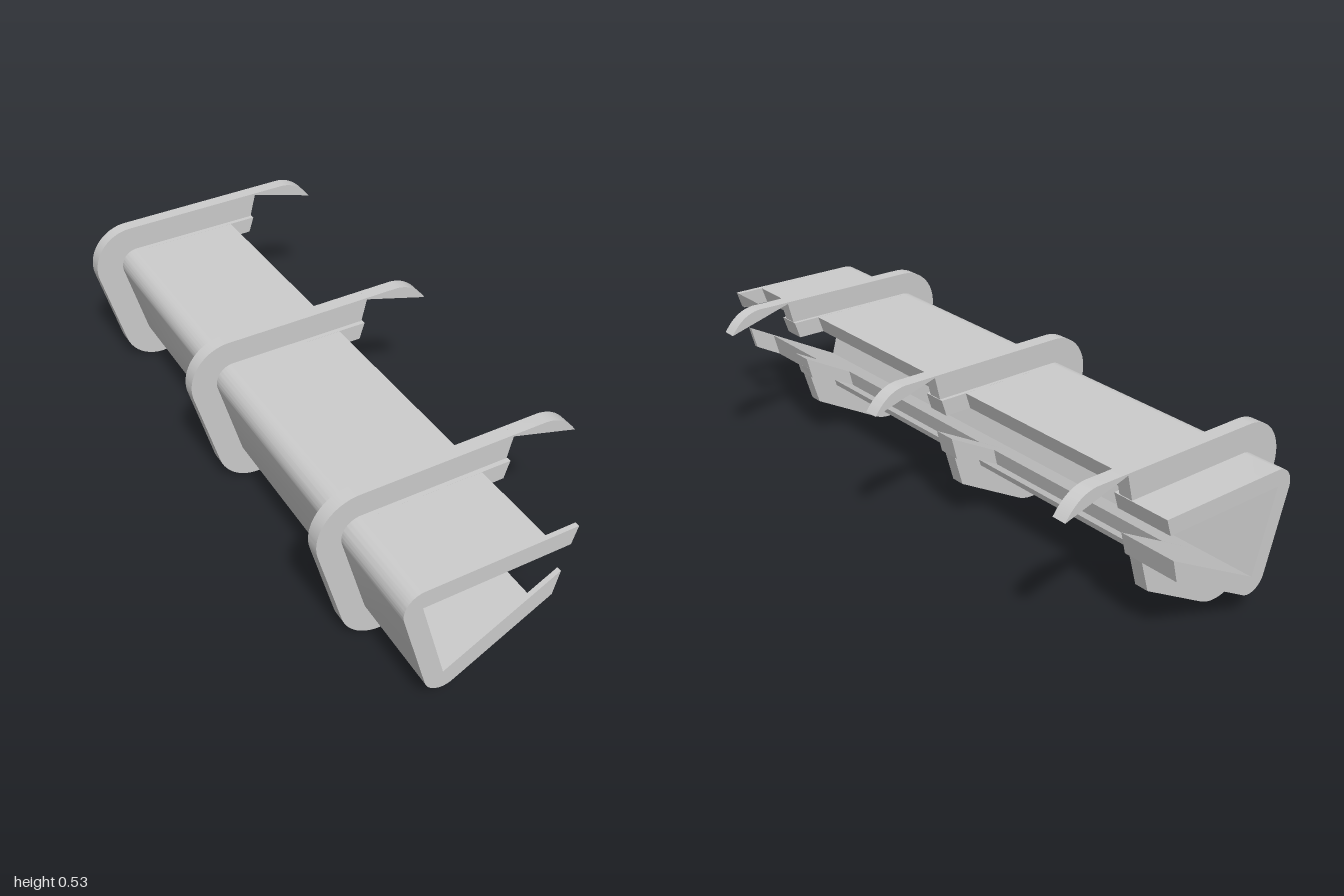
import * as THREE from 'three';
import { toCreasedNormals } from 'three/addons/utils/BufferGeometryUtils.js';

const rad = THREE.MathUtils.degToRad;
// the channel narrows slightly toward the back
const taper = z => 1 - 0.0325 * (1 - z);

export function createModel() {
  const group = new THREE.Group();
  const grey = new THREE.MeshStandardMaterial({ color: 0xcccccc });
  grey.name = 'grey';

  // C-shaped outline: two rounded corners of radius r, then listed points back along the inside
  function cShape(r, start, rest) {
    const s = new THREE.Shape();
    s.moveTo(...start);
    s.lineTo(-0.28, 0.392 + r);
    s.absarc(-0.28, 0.392, r, rad(90), rad(195), false);
    s.absarc(-0.207, 0.13, r, rad(195), rad(298.5), false);
    rest.forEach(p => s.lineTo(...p));
    s.closePath();
    return s;
  }

  function addExtrusion(name, shape, z0, z1, moveVertex) {
    const geo = new THREE.ExtrudeGeometry(shape, { depth: z1 - z0, bevelEnabled: false, curveSegments: 14 });
    geo.translate(0, 0, z0);
    const p = geo.attributes.position;
    const v = new THREE.Vector3();
    for (let i = 0; i < p.count; i++) {
      v.fromBufferAttribute(p, i);
      moveVertex(v);
      p.setXYZ(i, v.x, v.y, v.z);
    }
    const mesh = new THREE.Mesh(toCreasedNormals(geo, 0.5), grey);
    mesh.name = name;
    group.add(mesh);
  }

  const taperChannel = v => {
    const s = taper(v.z);
    v.x *= s;
    v.y = 0.265 + (v.y - 0.265) * s;
  };

  // channel wall sections: full lips, trimmed lips, and trimmed lips with a stepped lower edge
  const corners = [[-0.21, 0.127], [-0.285, 0.397]];
  const profiles = {
    full: cShape(0.06, [0.178, 0.46], [[0.12, 0.245], [0.14, 0.32], ...corners, [0.16, 0.405]]),
    trimmed: cShape(0.06, [0.085, 0.458], [[0.03, 0.194], [0.05, 0.27], ...corners, [0.067, 0.403]]),
    stepped: cShape(0.06, [0.085, 0.458],
      [[0.023, 0.19], [0.03, 0.212], [-0.045, 0.171], [-0.032, 0.226], ...corners, [0.067, 0.403]]),
  };
  [
    ['full', 0.985, 1], ['trimmed', 0.705, 0.985], ['full', 0.635, 0.705],
    ['stepped', -0.06, 0.635], ['full', -0.13, -0.06], ['stepped', -0.82, -0.13],
    ['full', -1, -0.82],
  ].forEach(([kind, z0, z1]) => addExtrusion(kind + 'ChannelSection', profiles[kind], z0, z1, taperChannel));

  // thin triangular lip at the front of the upper wall
  const lip = new THREE.BufferGeometry();
  lip.setAttribute('position', new THREE.Float32BufferAttribute(
    [0.178, 0.46, 1, 0.16, 0.405, 1, 0.175, 0.458, 0.77], 3));
  lip.computeVertexNormals();
  const lipMesh = new THREE.Mesh(lip, grey);
  lipMesh.name = 'frontLip';
  group.add(lipMesh);

  // ribs wrapped round the channel, each with a curved hook at the upper end
  const rib = cShape(0.13, [0.194, 0.531],
    [[0.09, 0.145], [0.12, 0.245], [0.13, 0.28], [-0.215, 0.1], [-0.307, 0.422], [0.169, 0.432]]);
  const hook = new THREE.Shape();
  hook.moveTo(0.192, 0.526);
  hook.lineTo(0.404, 0.468);
  hook.quadraticCurveTo(0.362, 0.53, 0.3, 0.533);
  hook.lineTo(0.192, 0.531);
  hook.closePath();

  for (const z of [0.668, -0.097, -0.857]) {
    const shift = (1 - taper(z)) * 0.15;
    addExtrusion('rib', rib, z - 0.022, z + 0.022, v => { if (v.x > 0) v.x -= shift; });
    addExtrusion('hook', hook, z - 0.022, z + 0.022, v => { v.x -= shift; });
  }
  return group;
}
